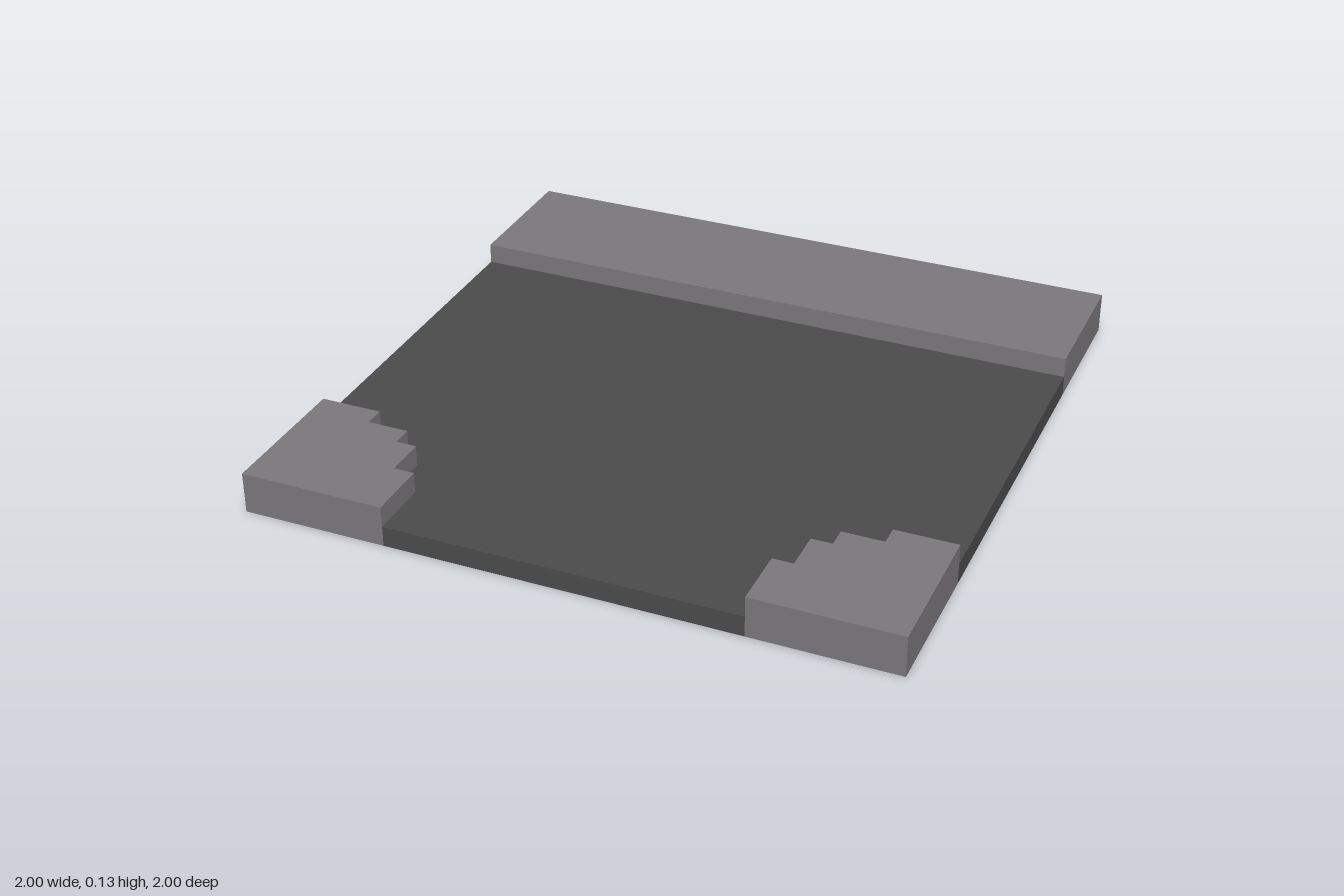
import * as THREE from 'three';

const U = 2 / 31; // one voxel
const H = 2 * U; // kerb height

// Stepped corner outline on the +x side, as [x, z], from the front edge inwards
const STEPS = [[7, 0], [7, 3], [6, 3], [6, 5], [5, 5], [5, 6], [3, 6], [3, 7], [0, 7]]
  .map(([a, b]) => [1 - a * U, 1 - b * U]);

// Slab standing on y = 0 from a floor outline of [x, z] points
function slab(name, outline, height, material) {
  const shape = new THREE.Shape(outline.map(([x, z]) => new THREE.Vector2(x, -z)));
  const geometry = new THREE.ExtrudeGeometry(shape, { depth: height, bevelEnabled: false });
  geometry.rotateX(-Math.PI / 2);
  const mesh = new THREE.Mesh(geometry, material);
  mesh.name = name;
  return mesh;
}

export function createModel() {
  const group = new THREE.Group();
  group.name = 'roadTile';
  const pavement = new THREE.MeshStandardMaterial({ color: 0x7a787b });
  pavement.name = 'pavementGrey';
  const asphalt = new THREE.MeshStandardMaterial({ color: 0x4b4b4b });
  asphalt.name = 'asphaltGrey';

  const back = -1 + 7 * U;
  const mirrored = STEPS.map(([x, z]) => [-x, z]);

  // Road surface, fitted around the pavements
  group.add(slab('road', [[-1, back], ...[...mirrored].reverse(), ...STEPS, [1, back]], U, asphalt));

  // Straight pavement along the back
  group.add(slab('backPavement', [[-1, -1], [-1, back], [1, back], [1, -1]], H, pavement));

  // Stepped corner pavements at the front
  group.add(slab('leftCornerPavement', [...STEPS, [1, 1]], H, pavement));
  group.add(slab('rightCornerPavement', [...mirrored, [-1, 1]], H, pavement));

  return group;
}
